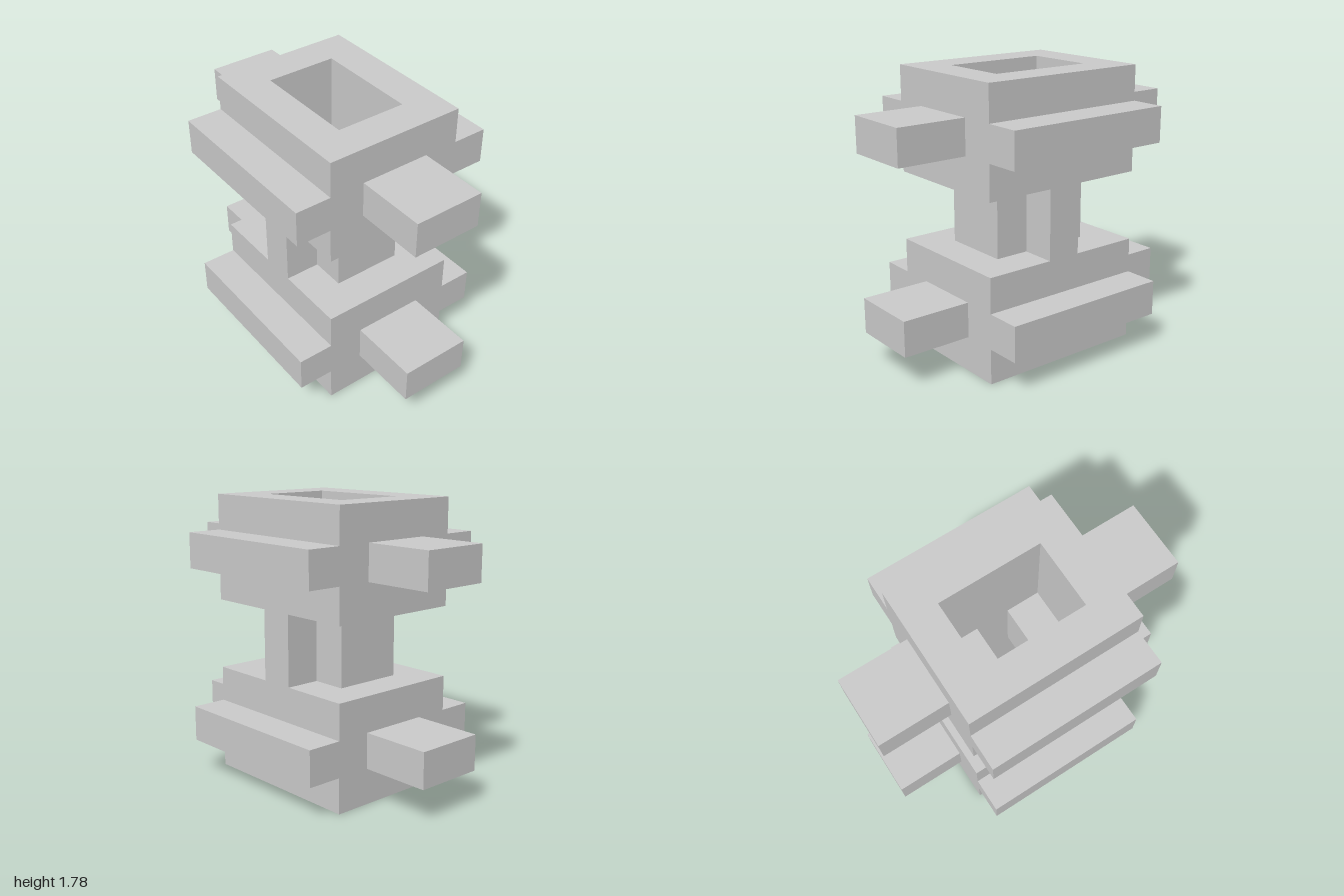
import * as THREE from 'three';

const U = 2 / 9; // modular unit: every dimension is a multiple of half of it

export function createModel() {
  const model = new THREE.Group();
  model.name = 'interlockingBlock';
  const material = new THREE.MeshStandardMaterial({ color: 0xcccccc, flatShading: true });

  // Box given by size and centre, in units
  function box(name, parent, [w, h, d], [x, y, z]) {
    const mesh = new THREE.Mesh(new THREE.BoxGeometry(w * U, h * U, d * U), material);
    mesh.position.set(x * U, y * U, z * U);
    mesh.name = name;
    parent.add(mesh);
  }

  // Rectangle outline centred on the origin, in units
  function rectangle(PathType, w, d) {
    const x = w * U / 2, z = d * U / 2;
    return new PathType([[-x, -z], [x, -z], [x, z], [-x, z]].map(p => new THREE.Vector2(...p)));
  }

  // Hollow deck body: rectangular frame extruded upwards
  const frame = rectangle(THREE.Shape, 4, 5);
  frame.holes.push(rectangle(THREE.Path, 2, 3));
  const frameGeometry = new THREE.ExtrudeGeometry(frame, { depth: 3 * U, bevelEnabled: false });
  frameGeometry.rotateX(-Math.PI / 2);

  // Two identical decks, each with side rails and end pegs
  for (const [name, level] of [['lowerDeck', 0], ['upperDeck', 5]]) {
    const deck = new THREE.Group();
    deck.name = name;
    deck.position.y = level * U;
    const body = new THREE.Mesh(frameGeometry, material);
    body.name = 'deckFrame';
    deck.add(body);
    for (const s of [1, -1]) {
      box(s > 0 ? 'leftRail' : 'rightRail', deck, [1, 1, 5], [s * 2.5, 1.5, 0]);
      box(s > 0 ? 'frontPeg' : 'backPeg', deck, [2, 1, 2], [0, 1.5, s * 3.5]);
    }
    model.add(deck);
  }

  // Waist: four pillars around the central shaft
  const waist = new THREE.Group();
  waist.name = 'waist';
  for (const s of [1, -1]) {
    box(s > 0 ? 'leftPillar' : 'rightPillar', waist, [1, 2, 1], [s * 1.5, 4, 0]);
    box(s > 0 ? 'frontPillar' : 'backPillar', waist, [2, 2, 1], [0, 4, s]);
  }
  model.add(waist);

  return model;
}
